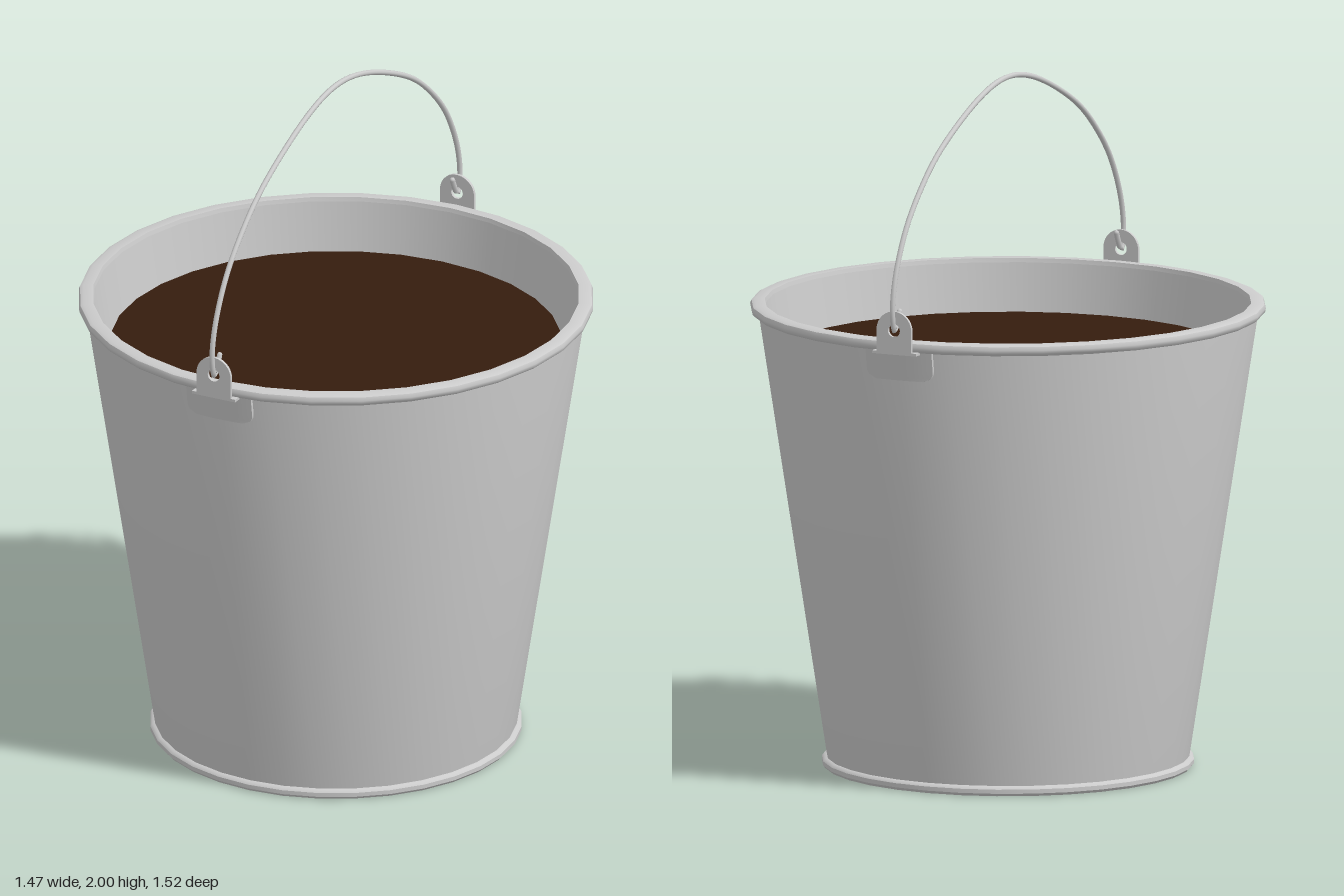
import * as THREE from 'three';
import { toCreasedNormals } from 'three/addons/utils/BufferGeometryUtils.js';

const SEGMENTS = 32;
const metal = new THREE.MeshStandardMaterial({ color: 0xcccccc });
const brown = new THREE.MeshStandardMaterial({ color: 0x351c0e });

// outer radius of the tapered wall at height y
const wallRadius = (y) => 0.517 + (y - 0.02) * 0.153;

function addMesh(parent, name, geometry, material = metal) {
  const mesh = new THREE.Mesh(geometry, material);
  mesh.name = name;
  parent.add(mesh);
  return mesh;
}

function lathe(points) {
  const profile = points.map(([r, y]) => new THREE.Vector2(r, y));
  return toCreasedNormals(new THREE.LatheGeometry(profile, SEGMENTS), 0.7);
}

// thin reinforcing plate with rounded lower corners, bent to follow the wall
function wallPlate() {
  const geometry = new THREE.BoxGeometry(2, 1, 1, 10, 8, 1);
  const pos = geometry.attributes.position;
  const corner = 0.03;
  for (let i = 0; i < pos.count; i++) {
    const rise = (pos.getY(i) + 0.5) * 0.09;
    const drop = Math.max(0, corner - rise);
    const halfWidth = 0.105 - corner + Math.sqrt(Math.max(0, corner * corner - drop * drop));
    const y = 1.225 + rise;
    const r = wallRadius(y) + pos.getZ(i) * 0.014;
    const angle = (pos.getX(i) * halfWidth) / r;
    pos.setXYZ(i, r * Math.sin(angle), y, r * Math.cos(angle));
  }
  return toCreasedNormals(geometry, 0.6);
}

// upright tab with a rounded top and a hole for the wire
function earTab() {
  const shape = new THREE.Shape();
  shape.moveTo(-0.055, 1.308);
  shape.lineTo(0.055, 1.308);
  shape.absarc(0, 1.375, 0.055, 0, Math.PI, false);
  shape.closePath();
  const hole = new THREE.Path();
  hole.absarc(0, 1.375, 0.019, 0, Math.PI * 2, true);
  shape.holes.push(hole);
  const geometry = new THREE.ExtrudeGeometry(shape, { depth: 0.009, bevelEnabled: false, curveSegments: 10 });
  geometry.translate(0, 0, 0.734);
  return toCreasedNormals(geometry, 0.6);
}

export function createModel() {
  const model = new THREE.Group();
  model.name = 'bucket';

  // tapered shell with wall thickness and a floor
  addMesh(model, 'shell', lathe([
    [0, 0.008], [0.515, 0.008], [wallRadius(0.03), 0.03], [wallRadius(1.32), 1.32],
    [0.715, 1.335], [0.695, 1.335], [0.5, 0.04], [0, 0.04],
  ]));

  // rolled rims at the top and the foot
  addMesh(model, 'topRim', lathe([
    [0.712, 1.311], [0.727, 1.311], [0.735, 1.318], [0.737, 1.328],
    [0.733, 1.338], [0.724, 1.342], [0.695, 1.342], [0.692, 1.33],
  ]));
  addMesh(model, 'footRim', lathe([
    [0.505, 0.008], [0.51, 0], [0.525, 0], [0.532, 0.008],
    [0.532, 0.02], [0.526, 0.027], [0.515, 0.029],
  ]));

  // liquid surface
  const liquid = addMesh(model, 'liquid', new THREE.CircleGeometry(0.645, SEGMENTS), brown);
  liquid.rotation.x = -Math.PI / 2;
  liquid.position.y = 1.195;

  // handle ears at the front and back
  for (const side of [0, 1]) {
    const ear = new THREE.Group();
    ear.name = side ? 'backEar' : 'frontEar';
    ear.rotation.y = side * Math.PI;
    addMesh(ear, 'tab', earTab());
    addMesh(ear, 'wallPlate', wallPlate());
    // short ledge joining the tab to the plate under the rim
    const ledge = addMesh(ear, 'ledge', new THREE.BoxGeometry(0.14, 0.008, 0.034));
    ledge.position.set(0, 1.309, 0.726);
    model.add(ear);
  }

  // wire handle, hooked through the ears at both ends
  const half = [
    [0.706, 1.425], [0.722, 1.392], [0.737, 1.372], [0.747, 1.39], [0.752, 1.44], [0.732, 1.53],
    [0.668, 1.65], [0.575, 1.75], [0.455, 1.84], [0.24, 1.94], [0.1, 1.981],
  ];
  const path = [
    ...half.map(([z, y]) => new THREE.Vector3(0, y, z)),
    new THREE.Vector3(0, 1.991, 0),
    ...half.slice().reverse().map(([z, y]) => new THREE.Vector3(0, y, -z)),
  ];
  const curve = new THREE.CatmullRomCurve3(path, false, 'centripetal');
  addMesh(model, 'handle', new THREE.TubeGeometry(curve, 140, 0.008, 8));
  for (const end of [path[0], path[path.length - 1]]) {
    addMesh(model, 'handleTip', new THREE.SphereGeometry(0.008, 8, 6)).position.copy(end);
  }

  return model;
}
